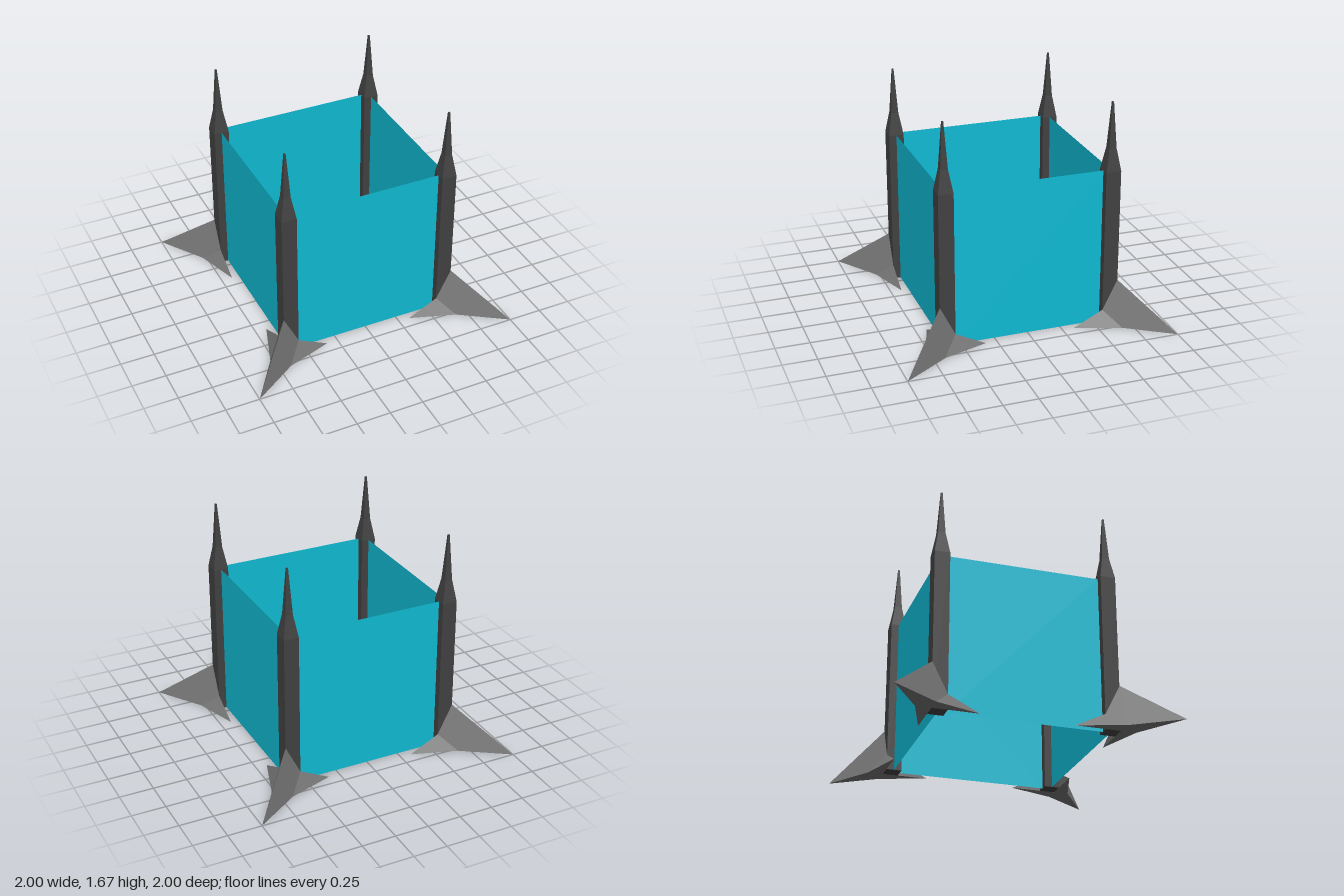
import * as THREE from 'three';

const POST = 0.611;      // distance of post centres from the middle
const HALF = 0.0555;     // half width of a post
const WALL_TOP = 1.17;

const mat = (name, color, extra = {}) => {
  const m = new THREE.MeshStandardMaterial({ color, ...extra });
  m.name = name;
  return m;
};

// Square frustum standing between two heights, given half widths
function squareFrustum(y0, y1, half0, half1, open) {
  const g = new THREE.CylinderGeometry(half1 * Math.SQRT2, half0 * Math.SQRT2, y1 - y0, 4, 1, open);
  return g.rotateY(Math.PI / 4).translate(0, (y0 + y1) / 2, 0);
}

// Three-pointed claw foot wrapped round the outer corner of a post
function footGeometry() {
  const apex = [0.667, 0.333, 0.667], tip = [1, 0, 1], notch = [0.667, 0, 0.778];
  const knee = [0.556, 0.111, 0.667], toe = [0.333, 0, 0.667], corner = [0.667, 0, 0.667];
  const half = [
    [apex, knee, notch], [apex, notch, tip], [knee, toe, notch], // outer slopes
    [knee, apex, corner], [toe, knee, corner],                   // inner side
    [toe, corner, notch], [notch, corner, tip],                  // underside
  ];
  const swap = ([x, y, z]) => [z, y, x];
  const mirrored = half.map(([a, b, c]) => [swap(a), swap(c), swap(b)]);
  const g = new THREE.BufferGeometry();
  g.setAttribute('position', new THREE.Float32BufferAttribute([...half, ...mirrored].flat(2), 3));
  g.computeVertexNormals();
  return g;
}

export function createModel() {
  const model = new THREE.Group();
  model.name = 'spiredEnclosure';
  const postMat = mat('darkGrey', 0x424242, { flatShading: true });
  const footMat = mat('midGrey', 0x757575, { flatShading: true });
  const wallMat = mat('cyan', 0x10bcd5, { side: THREE.DoubleSide });

  const add = (parent, name, geometry, material) => {
    const mesh = new THREE.Mesh(geometry, material);
    mesh.name = name;
    parent.add(mesh);
    return mesh;
  };

  const shaft = squareFrustum(0, WALL_TOP, HALF, HALF, false);
  const shoulder = squareFrustum(WALL_TOP, 1.335, HALF, 0.027, true);
  const spire = squareFrustum(1.335, 1.67, 0.027, 0.006, false);
  const foot = footGeometry();
  const wall = new THREE.PlaneGeometry(2 * (POST - HALF), WALL_TOP).translate(0, WALL_TOP / 2, POST);

  // Each quarter holds one corner post with its foot, and one wall
  for (let i = 0; i < 4; i++) {
    const quarter = new THREE.Group();
    quarter.name = `quarter${i + 1}`;
    quarter.rotation.y = i * Math.PI / 2;
    const post = new THREE.Group();
    post.name = 'post';
    post.position.set(POST, 0, POST);
    add(post, 'postShaft', shaft, postMat);
    add(post, 'postShoulder', shoulder, postMat);
    add(post, 'postSpire', spire, postMat);
    quarter.add(post);
    add(quarter, 'foot', foot, footMat);
    add(quarter, 'wall', wall, wallMat);
    model.add(quarter);
  }
  return model;
}
